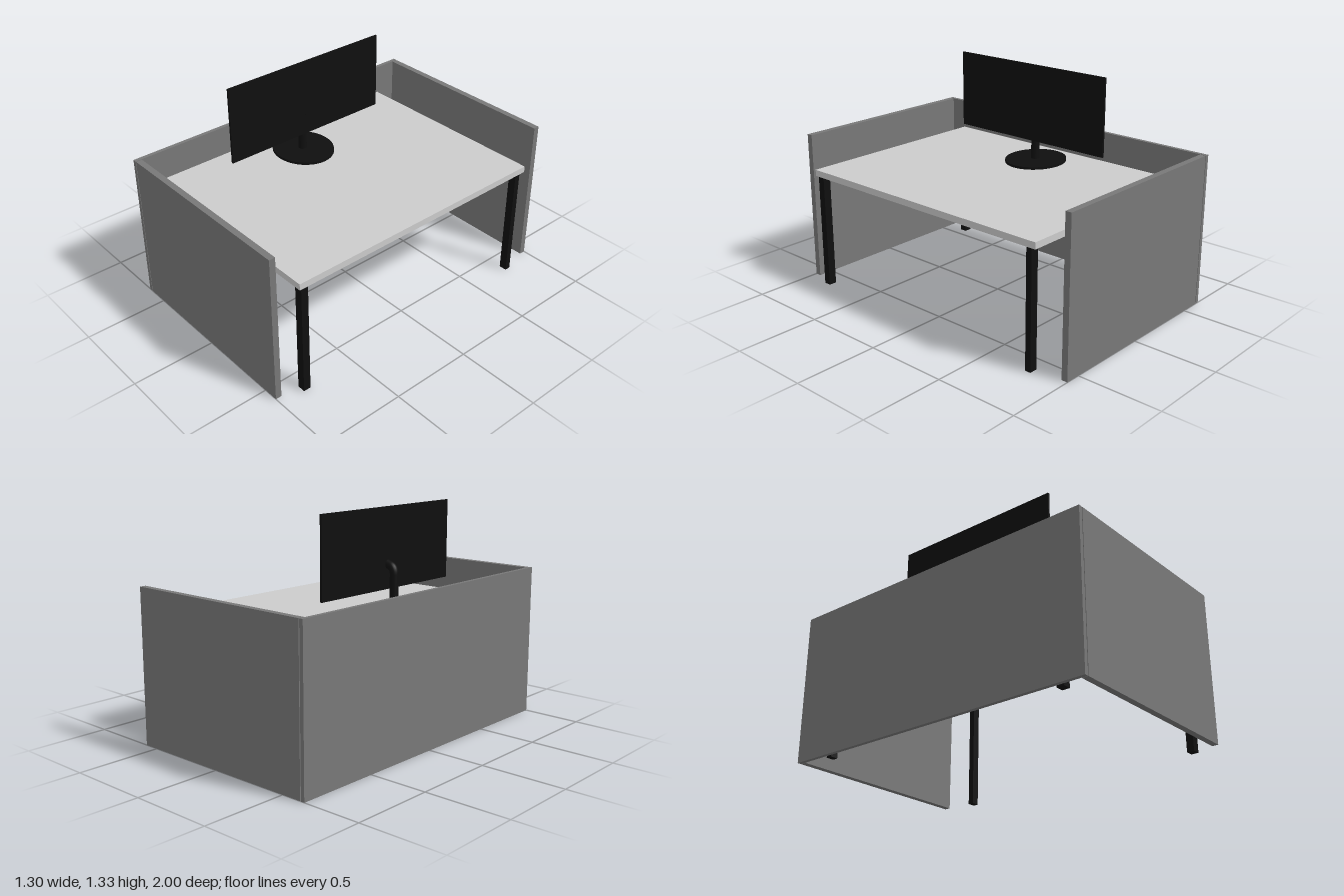
import * as THREE from 'three';

const topMat = new THREE.MeshStandardMaterial({ color: 0xcccccc });
const panelMat = new THREE.MeshStandardMaterial({ color: 0x787878 });
const blackMat = new THREE.MeshStandardMaterial({ color: 0x0f0f0f });

// Box given by its extents along each axis
function box(name, mat, [x0, x1], [y0, y1], [z0, z1]) {
  const mesh = new THREE.Mesh(new THREE.BoxGeometry(x1 - x0, y1 - y0, z1 - z0), mat);
  mesh.position.set((x0 + x1) / 2, (y0 + y1) / 2, (z0 + z1) / 2);
  mesh.name = name;
  return mesh;
}

function createMonitor() {
  const monitor = new THREE.Group();
  monitor.name = 'monitor';

  // Oval foot
  const foot = new THREE.Mesh(new THREE.CylinderGeometry(1, 1, 0.015, 64), blackMat);
  foot.scale.set(0.198, 1, 0.176);
  foot.position.set(-0.365, 0.7375, 0.017);
  foot.name = 'monitorFoot';

  // Neck: straight riser, then a bend forward into the screen
  const point = (x, y) => new THREE.Vector3(x, y, 0.021);
  const path = new THREE.CurvePath();
  path.add(new THREE.LineCurve3(point(-0.365, 0.74), point(-0.365, 0.955)));
  path.add(new THREE.QuadraticBezierCurve3(point(-0.365, 0.955), point(-0.365, 0.995), point(-0.338, 1.004)));
  path.add(new THREE.LineCurve3(point(-0.338, 1.004), point(-0.312, 1.014)));
  const neck = new THREE.Mesh(new THREE.TubeGeometry(path, 48, 0.025, 20), blackMat);
  neck.name = 'monitorNeck';

  monitor.add(foot, neck, box('screen', blackMat, [-0.321, -0.308], [0.87, 1.333], [-0.52, 0.567]));
  return monitor;
}

export function createModel() {
  const model = new THREE.Group();
  model.name = 'workstation';

  // Partition panels
  model.add(
    box('backPanel', panelMat, [-0.65, -0.627], [0, 0.91], [-1, 1]),
    box('sidePanelLeft', panelMat, [-0.622, 0.59], [0, 0.91], [0.963, 1]),
    box('sidePanelRight', panelMat, [-0.622, 0.59], [0, 0.91], [-1, -0.963])
  );

  // Desk
  model.add(box('deskTop', topMat, [-0.625, 0.65], [0.692, 0.73], [-0.83, 0.865]));
  for (const x of [[-0.609, -0.562], [0.593, 0.641]]) {
    for (const z of [[-0.8, -0.765], [0.806, 0.85]]) {
      model.add(box('deskLeg', blackMat, x, [0, 0.692], z));
    }
  }

  model.add(createMonitor());
  return model;
}
